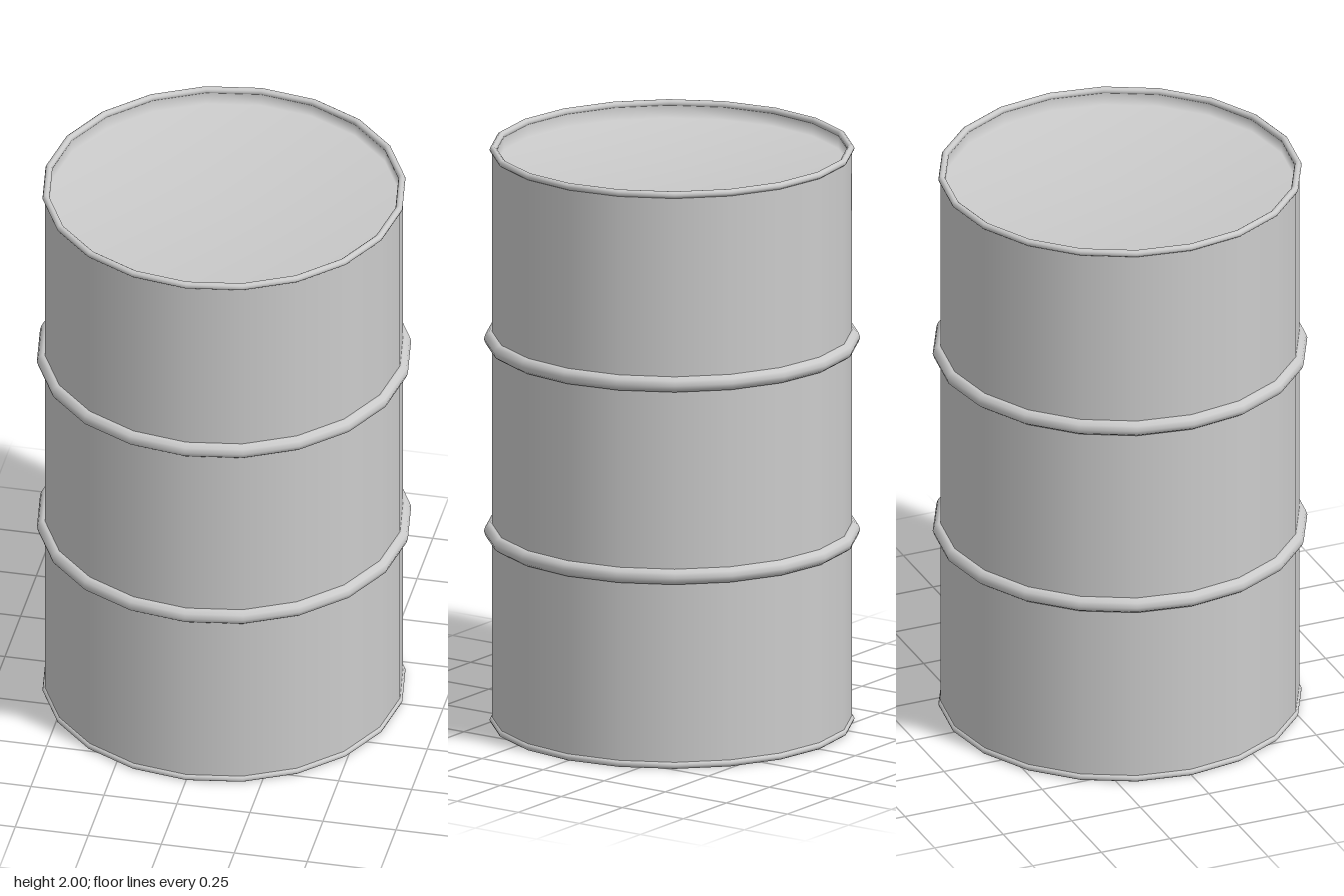
import * as THREE from 'three';
import { mergeVertices } from 'three/addons/utils/BufferGeometryUtils.js';

const SIDES = 20;
const HEIGHT = 2;
const RADIUS = 0.603;
const RIM = 0.012; // rim bead radius
const BAND = 0.027; // rolling hoop radius
const LID_DEPTH = 0.05;

export function createModel() {
  const drum = new THREE.Group();
  drum.name = 'drum';
  const material = new THREE.MeshStandardMaterial({ color: 0xcccccc });

  const add = (name, geometry, y) => {
    const mesh = new THREE.Mesh(geometry, material);
    mesh.name = name;
    mesh.position.y = y;
    drum.add(mesh);
  };

  // Horizontal bead running round the drum
  const ring = (name, radius, tube, y) =>
    add(name, new THREE.TorusGeometry(radius, tube, 10, SIDES).rotateX(Math.PI / 2), y);

  // Side wall
  const wallHeight = HEIGHT - 2 * RIM;
  add('wall', new THREE.CylinderGeometry(RADIUS, RADIUS, wallHeight, SIDES, 1, true), HEIGHT / 2);

  // Flat base
  add('base', new THREE.CircleGeometry(RADIUS, SIDES).rotateX(Math.PI / 2), 0.001);

  // Recessed lid and its short inner wall, shaded as one smooth surface
  const inner = RADIUS - 0.014;
  let lid = new THREE.LatheGeometry([
    new THREE.Vector2(inner, 0),
    new THREE.Vector2(inner, -LID_DEPTH),
    new THREE.Vector2(0, -LID_DEPTH),
  ], SIDES);
  lid.deleteAttribute('normal');
  lid.deleteAttribute('uv');
  lid = mergeVertices(lid);
  lid.computeVertexNormals();
  add('lid', lid, HEIGHT - RIM);

  // Rolled rims at both ends
  ring('bottomRim', RADIUS - 0.004, RIM, RIM);
  ring('topRim', RADIUS - 0.004, RIM, HEIGHT - RIM);

  // Rolling hoops at the thirds
  ring('lowerHoop', RADIUS, BAND, HEIGHT / 3);
  ring('upperHoop', RADIUS, BAND, HEIGHT * 2 / 3);

  return drum;
}
